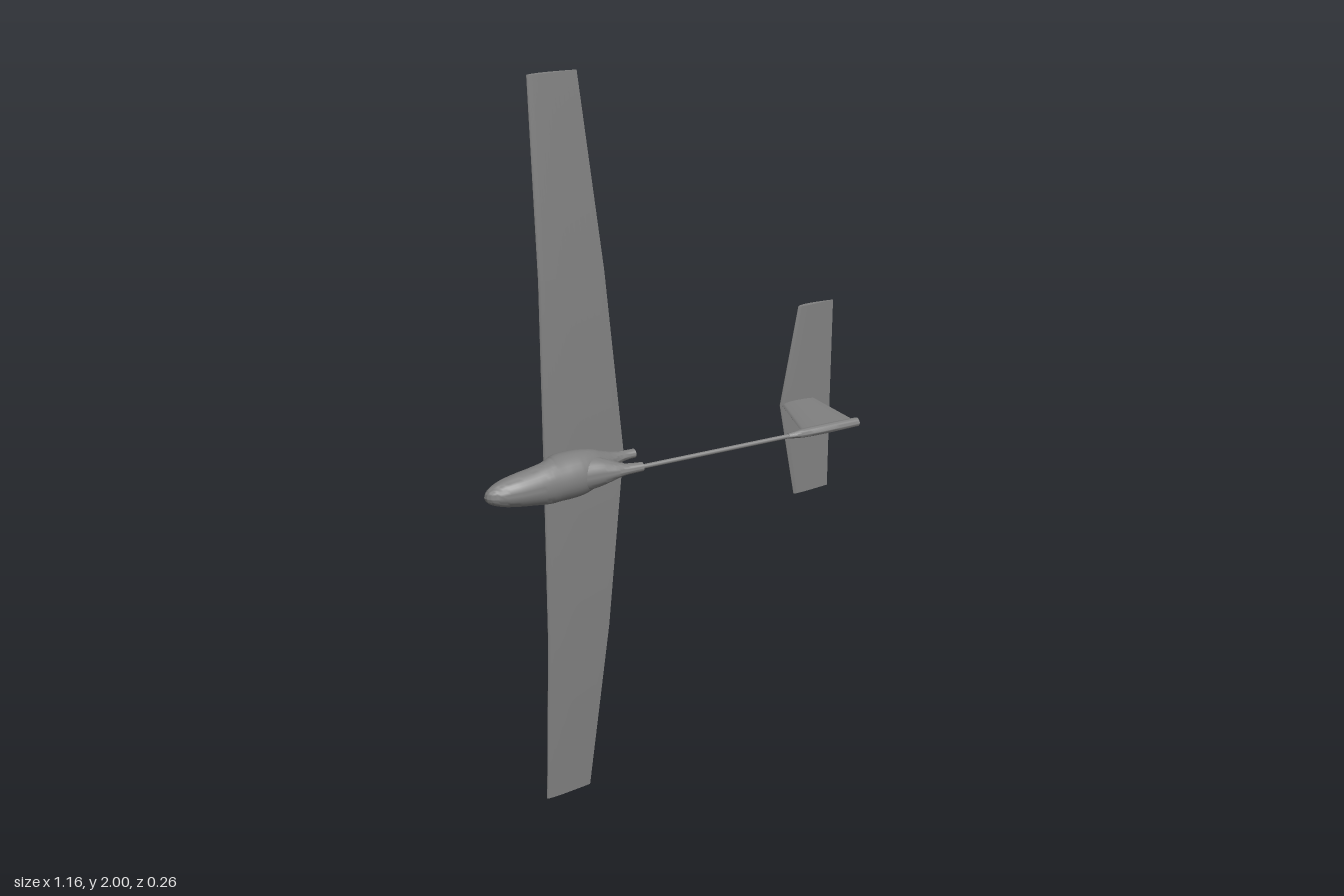
import * as THREE from 'three';
import { toCreasedNormals } from 'three/addons/utils/BufferGeometryUtils.js';

const material = new THREE.MeshStandardMaterial({ color: 0x808080 });

// Skin a list of equal-length closed rings, cap both ends, and make it face outward.
function loft(name, rings) {
  const n = rings[0].length;
  const points = rings.flat();
  const index = [];
  for (let i = 0; i < rings.length - 1; i++) {
    for (let j = 0; j < n; j++) {
      const a = i * n + j, b = i * n + (j + 1) % n;
      index.push(a, b, b + n, a, b + n, a + n);
    }
  }
  [0, rings.length - 1].forEach((r, end) => {
    const centre = new THREE.Vector3();
    rings[r].forEach((p) => centre.addScaledVector(p, 1 / n));
    const c = points.push(centre) - 1;
    for (let j = 0; j < n; j++) {
      const a = r * n + j, b = r * n + (j + 1) % n;
      if (end) index.push(a, b, c); else index.push(b, a, c);
    }
  });
  // The signed volume tells whether the winding must be reversed.
  let volume = 0;
  const cross = new THREE.Vector3();
  for (let i = 0; i < index.length; i += 3) {
    volume += cross.crossVectors(points[index[i + 1]], points[index[i + 2]]).dot(points[index[i]]);
  }
  if (volume < 0) index.reverse();
  const geometry = new THREE.BufferGeometry().setFromPoints(points);
  geometry.setIndex(index);
  const mesh = new THREE.Mesh(toCreasedNormals(geometry, 0.6), material);
  mesh.name = name;
  return mesh;
}

// Body along x from stations [x, upper z, lower z, half width in y], centred on y = 1.
function body(name, stations, steps, sides = 32) {
  const curve = (k) => new THREE.SplineCurve(stations.map((s) => new THREE.Vector2(s[0], s[k])));
  const [upper, lower, width] = [1, 2, 3].map(curve);
  const rings = [];
  for (let i = 0; i <= steps; i++) {
    const t = i / steps;
    const { x, y: top } = upper.getPoint(t);
    const bottom = lower.getPoint(t).y, w = width.getPoint(t).y;
    rings.push(Array.from({ length: sides }, (_, j) => {
      const a = (j / sides) * Math.PI * 2;
      return new THREE.Vector3(x, 1 + w * Math.cos(a), (top + bottom) / 2 + (bottom - top) / 2 * Math.sin(a));
    }));
  }
  return loft(name, rings);
}

// Cambered section: chord fraction and height, both in units of the chord.
const airfoil = new THREE.CatmullRomCurve3([
  [1, -0.094], [0.8, -0.118], [0.55, -0.134], [0.3, -0.13], [0.12, -0.098], [0.03, -0.055],
  [0, -0.02], [0.03, -0.002], [0.12, 0], [0.3, -0.008], [0.6, -0.04], [1, -0.088],
].map(([x, z]) => new THREE.Vector3(x, 0, z))).getPoints(44);

// Surface across y from stations [y, leading x, trailing x, z].
const surface = (name, stations) => loft(name, stations.map(([y, lead, trail, z]) =>
  airfoil.map((p) => new THREE.Vector3(lead + p.x * (trail - lead), y, z + p.z * (trail - lead)))));

// Symmetric half panel stations mirrored about y = 1.
const mirrored = (half) => [
  ...half.slice(1).reverse().map(([d, ...rest]) => [1 - d, ...rest]),
  ...half.map(([d, ...rest]) => [1 + d, ...rest]),
];

export function createModel() {
  const model = new THREE.Group();
  model.name = 'glider';

  // Wing with flat centre panels and raised outer panels
  model.add(surface('wing', mirrored([
    [0, -0.374, -0.135, 0.001], [0.5, -0.374, -0.185, -0.002], [1, -0.374, -0.236, -0.038],
  ])));

  // Pod sweeping up into the wing mount
  model.add(body('pod', [
    [-0.58, 0.09, 0.096, 0.003], [-0.574, 0.08, 0.105, 0.013], [-0.56, 0.068, 0.114, 0.023],
    [-0.53, 0.054, 0.122, 0.034], [-0.49, 0.044, 0.127, 0.042], [-0.45, 0.039, 0.127, 0.048],
    [-0.415, 0.034, 0.125, 0.054], [-0.39, 0.02, 0.123, 0.058], [-0.365, 0, 0.121, 0.06],
    [-0.335, -0.002, 0.117, 0.061], [-0.3, -0.002, 0.11, 0.059], [-0.26, -0.002, 0.092, 0.05],
    [-0.225, -0.003, 0.069, 0.035], [-0.195, -0.004, 0.046, 0.023], [-0.17, -0.004, 0.031, 0.016],
    [-0.145, -0.005, 0.023, 0.013], [-0.118, -0.006, 0.021, 0.012],
  ], 64));

  // Socket blending from the pod to the boom
  model.add(body('boomSocket', [
    [-0.33, 0.03, 0.112, 0.045], [-0.27, 0.035, 0.112, 0.041], [-0.235, 0.046, 0.112, 0.031],
    [-0.21, 0.06, 0.112, 0.021], [-0.19, 0.075, 0.112, 0.015], [-0.165, 0.083, 0.112, 0.013],
    [-0.143, 0.086, 0.112, 0.012],
  ], 30, 32));

  // Tail boom
  const boom = new THREE.Mesh(new THREE.CylinderGeometry(0.006, 0.006, 0.52, 20), material);
  boom.name = 'tailBoom';
  boom.rotation.z = Math.PI / 2;
  boom.position.set(0.08, 1, 0.1);
  model.add(boom);

  // Sleeve under the fin
  model.add(body('tailSleeve', [
    [0.3, 0.093, 0.107, 0.007], [0.32, 0.09, 0.11, 0.009], [0.35, 0.086, 0.113, 0.012],
    [0.4, 0.085, 0.115, 0.013], [0.46, 0.085, 0.114, 0.013], [0.522, 0.085, 0.113, 0.012],
  ], 24, 24));

  // Swept fin with a thin symmetric section
  const finRing = (lead, trail, z, half) => Array.from({ length: 32 }, (_, j) => {
    const a = (j / 32) * Math.PI * 2;
    const f = (1 - Math.cos(a)) / 2;
    return new THREE.Vector3(lead + f * (trail - lead), 1 + half * Math.sin(a) * (1.15 - 0.6 * f), z);
  });
  model.add(loft('fin', [finRing(0.348, 0.522, 0.092, 0.01), finRing(0.414, 0.522, -0.116, 0.008)]));

  // Tailplane on top of the fin
  model.add(surface('tailplane', mirrored([[0, 0.405, 0.58, -0.107], [0.28, 0.46, 0.58, -0.111]])));

  return model;
}
